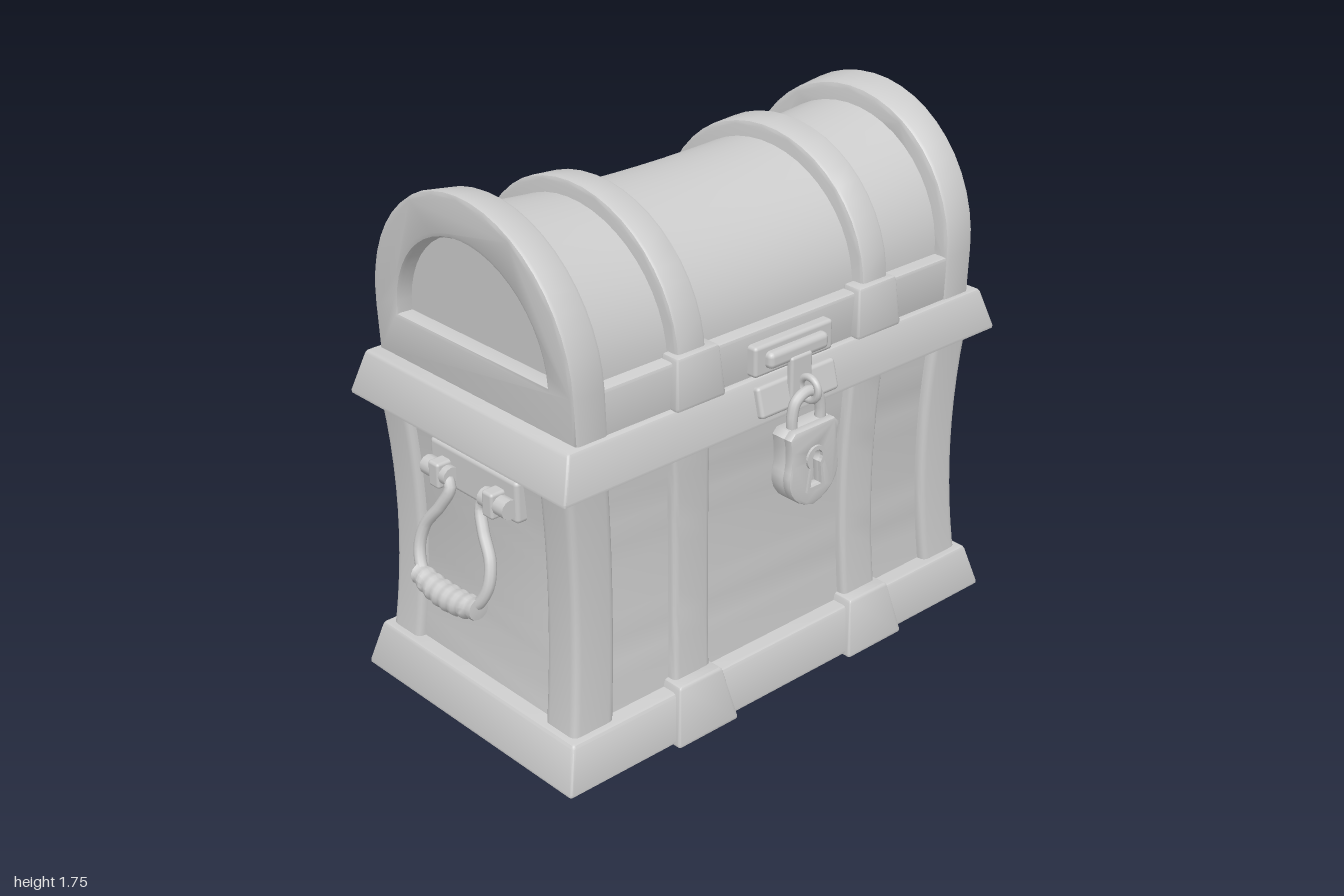
import * as THREE from 'three';
import { toCreasedNormals } from 'three/addons/utils/BufferGeometryUtils.js';
import { RoundedBoxGeometry } from 'three/addons/geometries/RoundedBoxGeometry.js';

const material = new THREE.MeshStandardMaterial({ color: 0xcccccc });

function add(parent, name, geometry, x = 0, y = 0, z = 0) {
  const mesh = new THREE.Mesh(geometry, material);
  mesh.name = name;
  mesh.position.set(x, y, z);
  parent.add(mesh);
  return mesh;
}

// Moves every vertex by a rule, then rebuilds normals with sharp edges kept
function warp(geometry, rule) {
  const p = geometry.attributes.position;
  const v = new THREE.Vector3();
  for (let i = 0; i < p.count; i++) {
    rule(v.fromBufferAttribute(p, i));
    p.setXYZ(i, v.x, v.y, v.z);
  }
  geometry.computeVertexNormals();
  return toCreasedNormals(geometry, 0.6);
}

function extrude(shape, depth, bevel, steps = 1, curveSegments = 6) {
  return new THREE.ExtrudeGeometry(shape, {
    depth: depth - 2 * bevel, steps, curveSegments, bevelEnabled: bevel > 0,
    bevelThickness: bevel, bevelSize: bevel, bevelOffset: -bevel, bevelSegments: 2,
  }).translate(0, 0, bevel);
}

function roundedRect(w, h, r) {
  const a = w / 2, b = h / 2, s = new THREE.Shape();
  s.moveTo(-a + r, -b).lineTo(a - r, -b).quadraticCurveTo(a, -b, a, -b + r);
  s.lineTo(a, b - r).quadraticCurveTo(a, b, a - r, b).lineTo(-a + r, b);
  s.quadraticCurveTo(-a, b, -a, b - r).lineTo(-a, -b + r).quadraticCurveTo(-a, -b, -a + r, -b);
  return s;
}

// Upright rounded prism standing at height y0
function prism(w, d, y0, y1, r, bevel, steps = 1) {
  return extrude(roundedRect(w, d, r), y1 - y0, bevel, steps, 4).rotateX(-Math.PI / 2).translate(0, y0, 0);
}

// Block that narrows from (w0, d0) at y0 to (w1, d1) at y1
function taperedBlock(w0, d0, w1, d1, y0, y1, bevel = 0.012) {
  return warp(prism(w0, d0, y0, y1, 0.012, bevel), (v) => {
    const t = (v.y - y0) / (y1 - y0);
    v.x *= 1 + t * (w1 / w0 - 1);
    v.z *= 1 + t * (d1 / d0 - 1);
  });
}

// The lower body is drawn in at mid height
function waist(v) {
  const f = 1 - 0.032 * (1 - ((v.y - 0.58) / 0.42) ** 2);
  v.x *= f;
  v.z *= f;
}

// The lid sags along its length and its ends lean outwards
function sag(v) {
  const t = (v.y - 1.13) / 0.55;
  v.y += 0.062 * t * (v.z / 0.78) ** 2;
  v.z *= 1 + 0.034 * t;
}

function archShape(halfWidth, bottom, spring, top) {
  const s = new THREE.Shape();
  s.moveTo(-halfWidth, bottom).lineTo(halfWidth, bottom);
  if (spring > bottom) s.lineTo(halfWidth, spring);
  s.absellipse(0, spring, halfWidth, top - spring, 0, Math.PI, false, 0);
  return s;
}

function archPart(shape, z0, z1, bevel, steps) {
  return warp(extrude(shape, z1 - z0, bevel, steps, 12).translate(0, 0, z0), sag);
}

function buildBody(chest) {
  add(chest, 'base', taperedBlock(1.03, 1.85, 0.96, 1.76, 0.01, 0.165));
  add(chest, 'bodyPanels', warp(prism(0.85, 1.66, 0.1, 1.05, 0.01, 0, 12), waist));
  add(chest, 'rim', taperedBlock(1.035, 1.84, 0.965, 1.745, 0.985, 1.13));
  for (const sx of [-1, 1]) {
    for (const sz of [-1, 1]) {
      const post = prism(0.14, 0.16, 0.1, 1.05, 0.025, 0, 12).translate(sx * 0.387, 0, sz * 0.778);
      add(chest, 'cornerPost', warp(post, waist));
      const strap = prism(0.1, 0.15, 0.1, 1.05, 0.02, 0, 12).translate(sx * 0.407, 0, sz * 0.378);
      add(chest, 'bodyStrap', warp(strap, waist));
      const foot = taperedBlock(0.16, 0.255, 0.08, 0.175, 0, 0.19);
      add(chest, 'strapFoot', foot, sx * 0.455, 0, sz * 0.378);
    }
  }
}

function buildLid(chest) {
  add(chest, 'lidShell', archPart(archShape(0.415, 1.12, 1.26, 1.63), -0.775, 0.775, 0, 16));
  add(chest, 'lidRail', warp(prism(0.925, 1.5, 1.12, 1.26, 0.01, 0.01, 1), sag));
  for (const s of [-1, 1]) {
    // End frame with an arched opening
    const frame = archShape(0.468, 1.12, 1.26, 1.685);
    frame.holes.push(archShape(0.35, 1.262, 1.262, 1.557));
    add(chest, 'lidEndFrame', archPart(frame, s > 0 ? 0.71 : -0.83, s > 0 ? 0.83 : -0.71, 0.014, 1));
    const z = s * 0.383;
    add(chest, 'lidBand', archPart(archShape(0.463, 1.12, 1.26, 1.682), z - 0.055, z + 0.055, 0.012, 1));
    for (const sx of [-1, 1]) {
      add(chest, 'lidClamp', taperedBlock(0.1, 0.195, 0.07, 0.165, 1.125, 1.29), sx * 0.447, 0, s * 0.378);
    }
  }
}

function buildHandle(chest, facing) {
  const handle = new THREE.Group();
  handle.name = facing > 0 ? 'frontHandle' : 'backHandle';
  if (facing < 0) handle.rotation.y = Math.PI;
  chest.add(handle);
  add(handle, 'handlePlate', new RoundedBoxGeometry(0.42, 0.14, 0.05, 2, 0.015), 0, 0.855, 0.822);
  for (const s of [-1, 1]) {
    const pin = new THREE.CylinderGeometry(0.032, 0.032, 0.12, 12).rotateZ(Math.PI / 2);
    add(handle, 'handlePin', pin, s * 0.14, 0.84, 0.863);
    add(handle, 'handleCollar', new RoundedBoxGeometry(0.05, 0.085, 0.075, 2, 0.01), s * 0.13, 0.84, 0.86);
  }
  // Swinging loop, leaning out from the wall
  const swing = new THREE.Group();
  swing.name = 'handleLoop';
  swing.position.set(0, 0.84, 0.868);
  swing.rotation.x = -0.26;
  handle.add(swing);
  const half = [[0.11, 0.005], [0.075, -0.03], [0.105, -0.1], [0.16, -0.18], [0.168, -0.26], [0.125, -0.33]];
  const points = [...half, [0, -0.352], ...half.slice().reverse().map(([x, y]) => [-x, y])];
  const curve = new THREE.CatmullRomCurve3(points.map(([x, y]) => new THREE.Vector3(x, y, 0)));
  add(swing, 'handleBail', new THREE.TubeGeometry(curve, 64, 0.019, 10));
  // Wrapped grip with ridges
  const profile = [new THREE.Vector2(0, -0.15)];
  for (let i = 0; i <= 28; i++) {
    const t = i / 14 - 1;
    profile.push(new THREE.Vector2(0.032 + 0.008 * (1 - t * t) + (i % 4 < 2 ? 0.004 : 0), t * 0.145));
  }
  profile.push(new THREE.Vector2(0, 0.15));
  const grip = new THREE.LatheGeometry(profile, 14).rotateZ(Math.PI / 2);
  add(swing, 'handleGrip', warp(grip, (v) => { v.y += 0.9 * v.x * v.x; }), 0, -0.352, 0);
}

function shieldShape() {
  const s = new THREE.Shape();
  s.moveTo(-0.085, 0.965).lineTo(0.085, 0.965).lineTo(0.105, 0.945);
  s.quadraticCurveTo(0.09, 0.87, 0.107, 0.815).quadraticCurveTo(0.11, 0.72, 0, 0.695);
  s.quadraticCurveTo(-0.11, 0.72, -0.107, 0.815).quadraticCurveTo(-0.09, 0.87, -0.105, 0.945);
  return s;
}

function keyhole(grow) {
  const k = new THREE.Path();
  k.absarc(0, 0.86, 0.026 + grow, -0.9, Math.PI + 0.9, false);
  k.lineTo(-0.024 - grow, 0.765 - grow).lineTo(0.024 + grow, 0.765 - grow);
  k.closePath();
  return k;
}

function buildLock(chest) {
  const lock = new THREE.Group();
  lock.name = 'lock';
  chest.add(lock);
  // Hasp plates on rim and lid
  add(lock, 'lowerHaspPlate', new RoundedBoxGeometry(0.035, 0.1, 0.33, 2, 0.012), 0.503, 1.06, 0).rotation.z = 0.25;
  add(lock, 'upperHaspPlate', new RoundedBoxGeometry(0.05, 0.1, 0.33, 2, 0.012), 0.472, 1.187, 0);
  add(lock, 'haspHinge', new RoundedBoxGeometry(0.05, 0.055, 0.25, 2, 0.018), 0.498, 1.187, 0);
  add(lock, 'haspTongue', new RoundedBoxGeometry(0.025, 0.15, 0.09, 2, 0.01), 0.518, 1.105, 0);
  add(lock, 'staple', new THREE.TorusGeometry(0.037, 0.012, 10, 24), 0.56, 1.078, 0);
  // Padlock
  const back = extrude(shieldShape(), 0.06, 0.01).rotateY(Math.PI / 2);
  add(lock, 'padlockBody', toCreasedNormals(back, 0.6), 0.507, 0, 0);
  const face = shieldShape();
  face.holes.push(keyhole(0));
  add(lock, 'padlockFace', toCreasedNormals(extrude(face, 0.034, 0.008).rotateY(Math.PI / 2), 0.6), 0.558, 0, 0);
  const border = new THREE.Shape(keyhole(0.014).getPoints(10));
  border.holes.push(keyhole(0));
  add(lock, 'keyholeBorder', extrude(border, 0.012, 0).rotateY(Math.PI / 2), 0.588, 0, 0);
  const arc = [[0.06, 0.94], [0.06, 1.0], [0.045, 1.045], [0, 1.065], [-0.045, 1.045], [-0.06, 1.0], [-0.06, 0.94]];
  const shackle = new THREE.CatmullRomCurve3(arc.map(([z, y]) => new THREE.Vector3(0, y, z)));
  add(lock, 'shackle', new THREE.TubeGeometry(shackle, 32, 0.018, 10), 0.55, 0, 0);
}

function buildHinge(chest) {
  add(chest, 'lowerHingePlate', new RoundedBoxGeometry(0.03, 0.1, 0.27, 2, 0.01), -0.502, 1.07, 0).rotation.z = -0.25;
  add(chest, 'upperHingePlate', new RoundedBoxGeometry(0.05, 0.09, 0.27, 2, 0.012), -0.472, 1.175, 0);
  for (let i = -1; i <= 1; i++) {
    const knuckle = new THREE.CylinderGeometry(0.02, 0.02, 0.07, 12).rotateX(Math.PI / 2);
    add(chest, 'hingeKnuckle', knuckle, -0.512, 1.135, i * 0.077);
  }
  const pin = new THREE.CylinderGeometry(0.012, 0.012, 0.25, 10).rotateX(Math.PI / 2);
  add(chest, 'hingePin', pin, -0.512, 1.135, 0);
}

export function createModel() {
  const model = new THREE.Group();
  model.name = 'treasureChest';
  const chest = new THREE.Group();
  chest.name = 'chest';
  chest.position.x = -0.032;
  model.add(chest);
  buildBody(chest);
  buildLid(chest);
  buildHandle(chest, 1);
  buildHandle(chest, -1);
  buildLock(chest);
  buildHinge(chest);
  return model;
}
